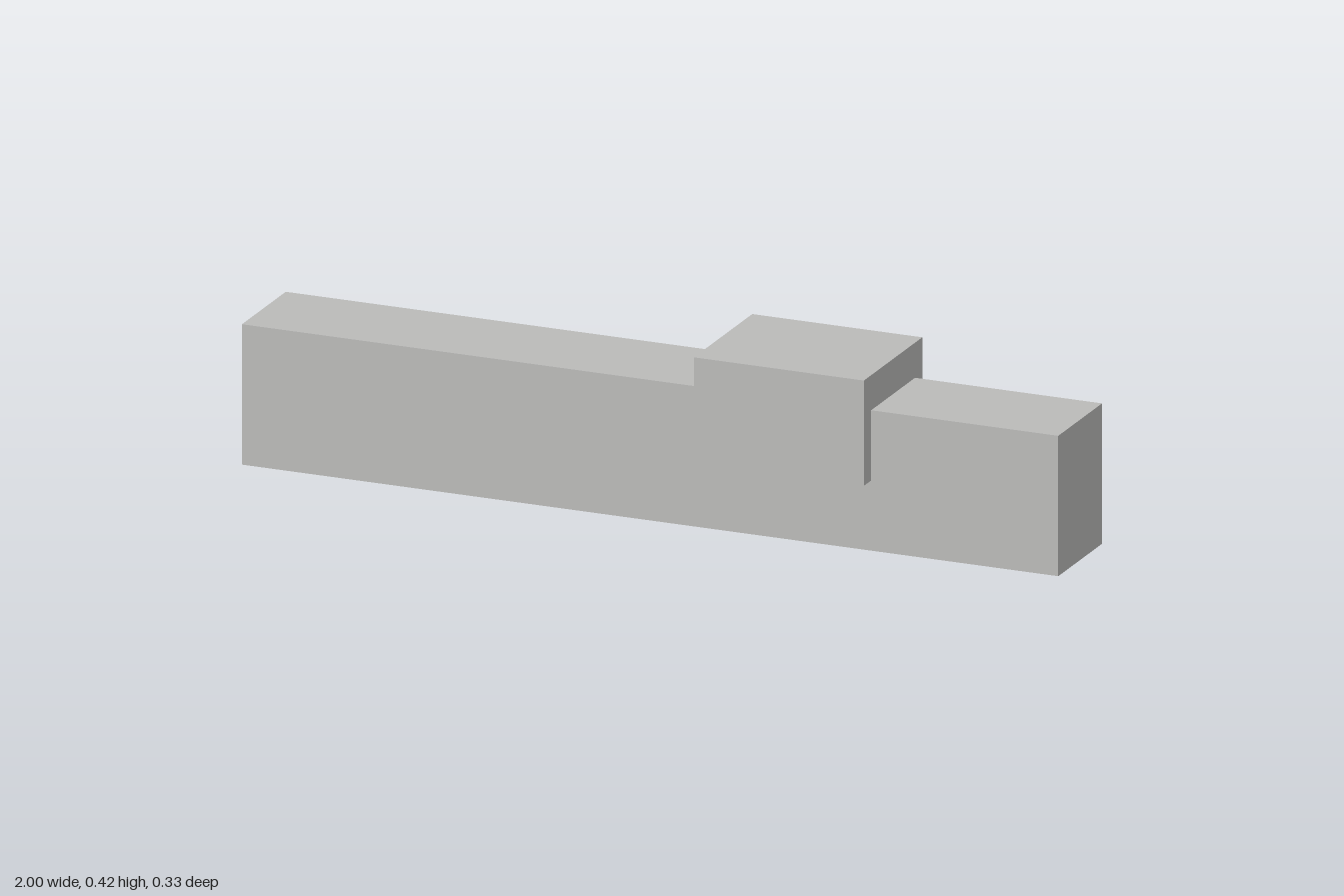
import * as THREE from 'three';

export function createModel() {
  const model = new THREE.Group();
  const grey = new THREE.MeshStandardMaterial({ color: 0xbcbcba });
  grey.name = 'grey';

  // Adds a named box with its base at height y
  const addBox = (name, [w, h, d], x, y) => {
    const mesh = new THREE.Mesh(new THREE.BoxGeometry(w, h, d), grey);
    mesh.name = name;
    mesh.position.set(x, y + h / 2, 0);
    model.add(mesh);
  };

  // Long straight bar resting on the ground
  addBox('rail', [2, 1 / 3, 0.25], 0, 0);
  // Wider block straddling the bar, off centre
  addBox('slider', [5 / 12, 0.25, 1 / 3], 1 / 3, 1 / 6);

  return model;
}
